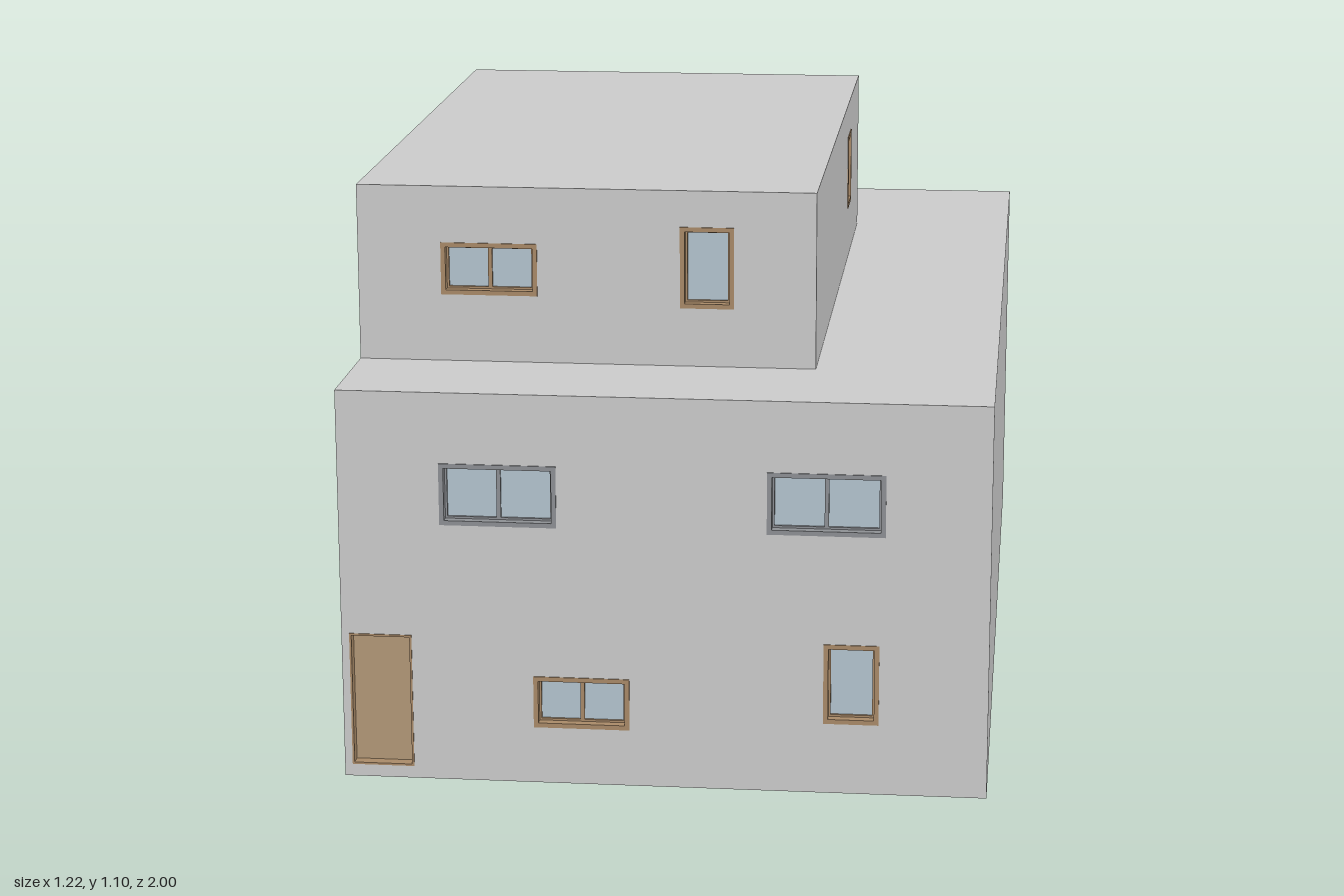
import * as THREE from 'three';

const mat = (color) => new THREE.MeshStandardMaterial({ color });
const wallMat = mat(0xcccccc);
const slabMat = mat(0xc6c7c9);
const woodMat = mat(0xa98a68);
const greyFrameMat = mat(0x8d9094);
const glassMat = mat(0xb4c4cf);
const doorMat = mat(0xb39878);

const T = 0.04;       // wall thickness
const FRAME = 0.009;  // width of one frame bar
const PROUD = 0.002;  // how far frames stand out from the wall

function mesh(name, geometry, material, parent) {
  const m = new THREE.Mesh(geometry, material);
  m.name = name;
  parent.add(m);
  return m;
}

function box(name, x0, x1, y0, y1, z0, z1, material, parent) {
  const m = mesh(name, new THREE.BoxGeometry(x1 - x0, y1 - y0, z1 - z0), material, parent);
  m.position.set((x0 + x1) / 2, (y0 + y1) / 2, (z0 + z1) / 2);
  return m;
}

function trace(path, x0, x1, y0, y1) {
  path.moveTo(x0, y0);
  path.lineTo(x1, y0);
  path.lineTo(x1, y1);
  path.lineTo(x0, y1);
  path.closePath();
  return path;
}

// Flat panel with rectangular holes, its outer face at z = front
function panel(name, [x0, x1, y0, y1], holes, front, depth, material, parent) {
  const shape = trace(new THREE.Shape(), x0, x1, y0, y1);
  for (const h of holes) shape.holes.push(trace(new THREE.Path(), ...h));
  const geometry = new THREE.ExtrudeGeometry(shape, { depth, bevelEnabled: false });
  geometry.translate(0, 0, front - depth);
  return mesh(name, geometry, material, parent);
}

const inset = ([x0, x1, y0, y1], d) => [x0 + d, x1 - d, y0 + d, y1 - d];

// Window or door set into an opening of a wall whose outer face is z = 0
function addOpening({ rect, kind, panes = 1, frame = woodMat }, parent) {
  const group = new THREE.Group();
  group.name = kind;
  parent.add(group);
  if (kind === 'door') {
    const inner = inset(rect, 0.004);
    panel('doorFrame', rect, [inner], PROUD, T, frame, group);
    box('doorLeaf', ...inner, -T, -0.02, doorMat, group);
    return;
  }
  const inner = inset(rect, FRAME);
  panel('windowFrame', rect, [inner], PROUD, T, frame, group);
  // Sashes side by side, each with its own glass
  const w = (inner[1] - inner[0]) / panes;
  for (let i = 0; i < panes; i++) {
    const x0 = inner[0] + i * w;
    const sash = [x0, x0 + w, inner[2], inner[3]];
    const pane = inset(sash, 0.004);
    panel('sash', sash, [pane], -0.015, 0.015, frame, group);
    box('glass', ...pane, -0.025, -0.02, glassMat, group);
  }
}

// Four walls of one floor; side openings are given in the side wall's own x, which runs along -z
function addFloor(name, [x0, x1, z0, z1], y0, y1, front, side, parent) {
  const floor = new THREE.Group();
  floor.name = name;
  parent.add(floor);

  const frontWall = new THREE.Group();
  frontWall.name = 'frontWall';
  frontWall.position.z = z1;
  floor.add(frontWall);
  panel('wall', [x0, x1, y0, y1], front.map((o) => o.rect), 0, T, wallMat, frontWall);
  front.forEach((o) => addOpening(o, frontWall));

  const leftWall = new THREE.Group();
  leftWall.name = 'leftWall';
  leftWall.position.x = x1;
  leftWall.rotation.y = Math.PI / 2;
  floor.add(leftWall);
  panel('wall', [-z1 + T, -z0 - T, y0, y1], side.map((o) => o.rect), 0, T, wallMat, leftWall);
  side.forEach((o) => addOpening(o, leftWall));

  box('rightWall', x0, x0 + T, y0, y1, z0 + T, z1 - T, wallMat, floor);
  box('backWall', x0, x1, y0, y1, z0, z0 + T, wallMat, floor);
}

export function createModel() {
  const house = new THREE.Group();
  house.name = 'house';
  const base = [-0.61, 0.61, -1, 1];
  const top = [-0.61, 0.267, -0.6, 0.757];

  // Slabs under, between and over the floors
  const slab = (name, [x0, x1, z0, z1], y0, y1, material) =>
    box(name, x0, x1, y0, y1, z0, z1, material, house);
  slab('groundSlab', base, 0, 0.02, slabMat);
  slab('middleSlab', base, 0.4, 0.42, slabMat);
  slab('terraceSlab', base, 0.74, 0.76, wallMat);
  slab('roofSlab', top, 1.08, 1.1, wallMat);

  addFloor('groundFloor', base, 0.02, 0.4, [
    { kind: 'door', rect: [-0.595, -0.476, 0.024, 0.286] },
    { kind: 'window', rect: [-0.245, -0.063, 0.111, 0.212], panes: 2 },
    { kind: 'window', rect: [0.302, 0.406, 0.138, 0.294] },
  ], [], house);

  addFloor('middleFloor', base, 0.42, 0.74, [-0.308, 0.305].map((x) => (
    { kind: 'window', rect: [x - 0.11, x + 0.11, 0.505, 0.624], panes: 2, frame: greyFrameMat }
  )), [], house);

  addFloor('topFloor', top, 0.76, 1.08, [
    { kind: 'window', rect: [-0.45, -0.265, 0.89, 0.991], panes: 2 },
    { kind: 'window', rect: [0.008, 0.111, 0.873, 1.03] },
  ], [
    { kind: 'window', rect: [0.21, 0.311, 0.873, 1.03] },
  ], house);

  return house;
}
